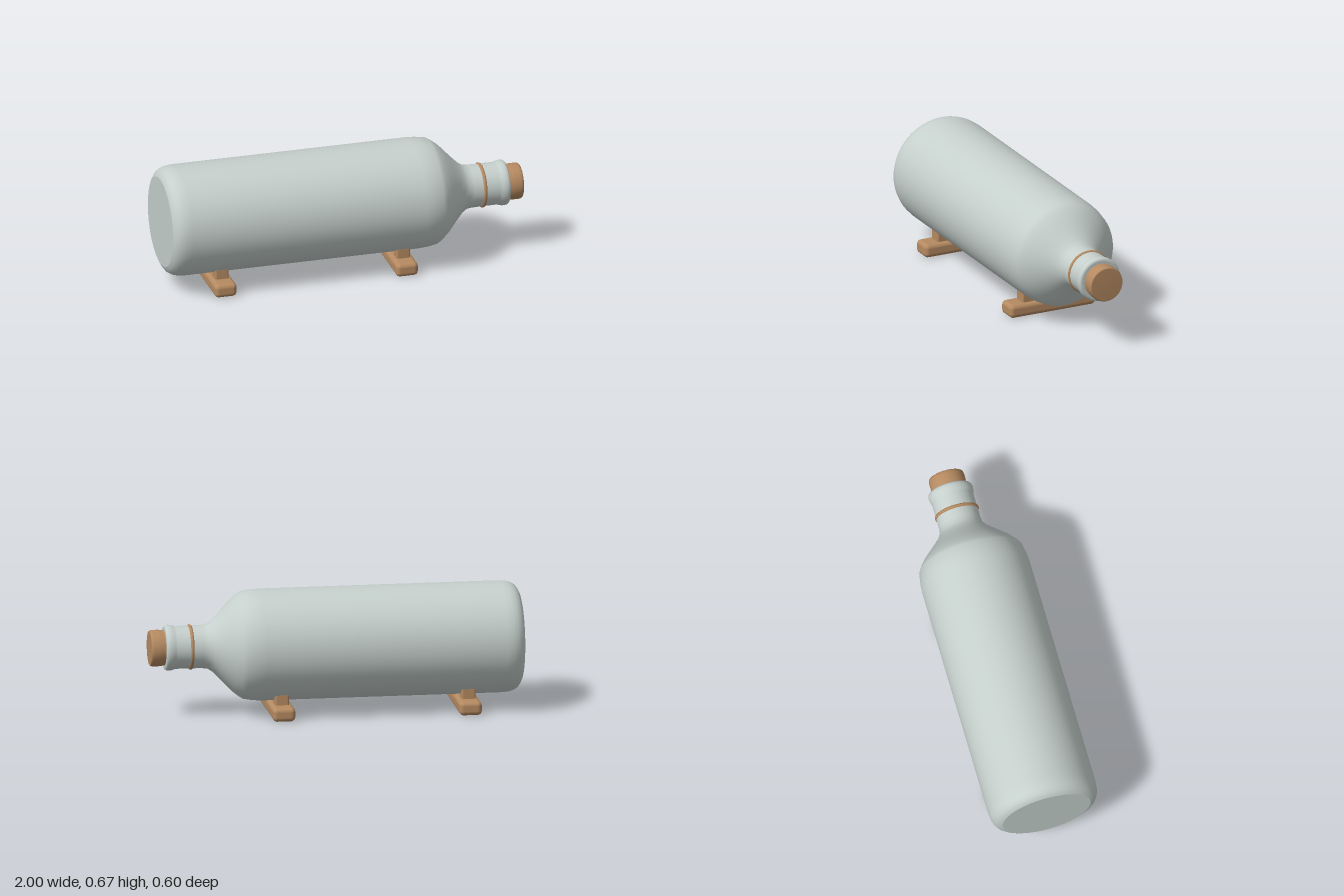
import * as THREE from 'three';
import { RoundedBoxGeometry } from 'three/addons/geometries/RoundedBoxGeometry.js';

const AXIS_Y = 0.373; // height of the bottle's centre line

export function createModel() {
  const group = new THREE.Group();
  const glass = new THREE.MeshStandardMaterial({ color: 0xc5cfcb });
  glass.name = 'paleGlass';
  const wood = new THREE.MeshStandardMaterial({ color: 0xb58a61 });
  wood.name = 'wood';

  const add = (name, geometry, material, x, y, z, parent = group) => {
    const mesh = new THREE.Mesh(geometry, material);
    mesh.name = name;
    mesh.position.set(x, y, z);
    parent.add(mesh);
    return mesh;
  };

  // Turned part lying along x; profile points are [radius, x]
  const turned = (name, profile, material) => {
    const points = profile.map(([r, x]) => new THREE.Vector2(r, x));
    const geometry = new THREE.LatheGeometry(points, 64);
    geometry.rotateZ(-Math.PI / 2);
    return add(name, geometry, material, 0, AXIS_Y, 0);
  };

  // Bottle: flat base, rounded heel, body, shoulder, neck and lip
  turned('bottleBase', [[0, -1], [0.245, -1]], glass);
  turned('bottleBody', [
    [0.245, -1], [0.262, -0.992], [0.278, -0.98], [0.29, -0.96], [0.297, -0.935], [0.3, -0.9],
    [0.3, -0.5], [0.3, 0], [0.3, 0.4], [0.297, 0.445], [0.288, 0.5], [0.271, 0.527], [0.243, 0.56],
    [0.205, 0.595], [0.168, 0.63], [0.138, 0.66], [0.119, 0.69], [0.116, 0.72], [0.115, 0.78],
    [0.115, 0.86], [0.118, 0.872], [0.122, 0.885], [0.123, 0.9], [0.121, 0.912],
    [0.115, 0.919], [0.107, 0.92], [0.085, 0.92],
  ], glass);

  // Cord around the neck
  const band = new THREE.TorusGeometry(0.112, 0.01, 12, 64).rotateY(Math.PI / 2);
  add('neckBand', band, wood, 0.78, AXIS_Y, 0);

  // Cork
  turned('cork', [
    [0.093, 0.9], [0.094, 0.925], [0.097, 0.94], [0.098, 0.955], [0.098, 0.98],
    [0.097, 0.99], [0.094, 0.997], [0.09, 1], [0, 1],
  ], wood);

  // Two cradles, each a crossbar with a pair of posts
  for (const [name, x] of [['rearCradle', -0.705], ['frontCradle', 0.305]]) {
    const cradle = new THREE.Group();
    cradle.name = name;
    cradle.position.x = x;
    group.add(cradle);
    add('crossbar', new RoundedBoxGeometry(0.122, 0.075, 0.512, 4, 0.024), wood, 0, 0.0375, 0, cradle);
    for (const side of [-1, 1]) {
      add('post', new RoundedBoxGeometry(0.076, 0.09, 0.068, 3, 0.01), wood, 0, 0.09, side * 0.139, cradle);
    }
  }
  return group;
}
